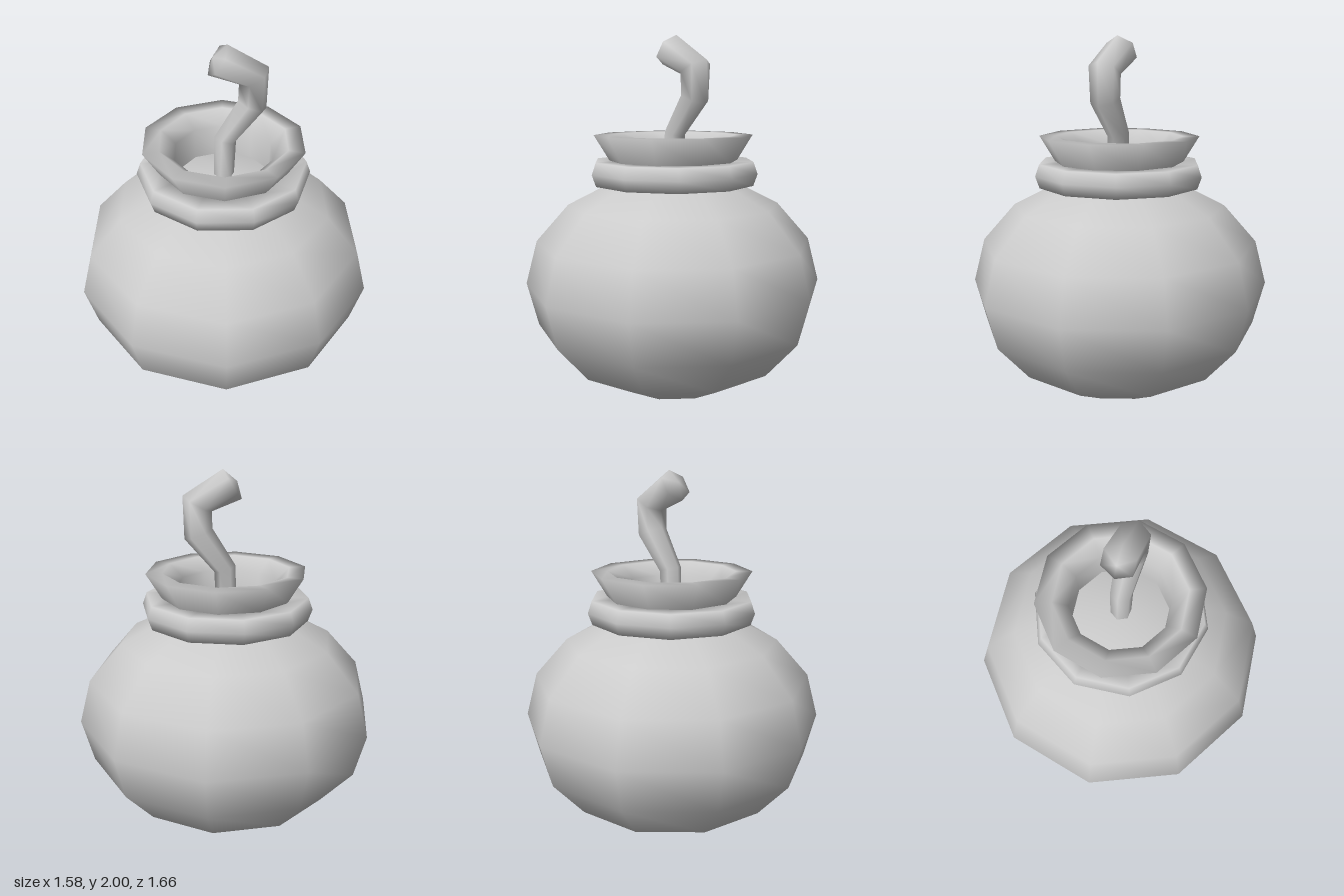
import * as THREE from 'three';

const material = new THREE.MeshStandardMaterial({ color: 0xcccccc, side: THREE.DoubleSide });
const SIDES = 10;

// Ten-sided ring of revolution from [radius, height] pairs
function turned(name, profile) {
  const points = profile.map(([r, y]) => new THREE.Vector2(r, y));
  const mesh = new THREE.Mesh(new THREE.LatheGeometry(points, SIDES), material);
  mesh.name = name;
  return mesh;
}

// Crooked six-sided fuse, bending in the diagonal plane x = -z.
// Each ring: offset along the diagonal, height, radius, tilt.
function fuseGeometry() {
  const rings = [
    [0, 1.2, 0.055, 0],
    [0.01, 1.47, 0.06, -0.3],
    [0.15, 1.66, 0.08, -0.36],
    [0.155, 1.82, 0.087, 0.5],
    [-0.03, 1.92, 0.092, 1.0],
  ];
  const n = 6, d = Math.SQRT1_2;
  const positions = [], indices = [];
  const add = (s, y, w) => positions.push((s + w) * d, y, (w - s) * d);
  for (const [s, y, r, tilt] of rings) {
    for (let i = 0; i < n; i++) {
      const a = (i / n) * Math.PI * 2;
      const v = Math.cos(a) * r;
      add(s + v * Math.cos(tilt), y + v * Math.sin(tilt), -Math.sin(a) * r);
    }
  }
  for (let k = 0; k < rings.length - 1; k++) {
    for (let i = 0; i < n; i++) {
      const j = (i + 1) % n, a = k * n + i, b = k * n + j;
      indices.push(a, a + n, b, b, a + n, b + n);
    }
  }
  // Blunt tip
  const tip = rings.length * n, last = tip - n;
  add(-0.055, 1.935, 0);
  for (let i = 0; i < n; i++) indices.push(last + i, tip, last + (i + 1) % n);

  const geometry = new THREE.BufferGeometry();
  geometry.setAttribute('position', new THREE.Float32BufferAttribute(positions, 3));
  geometry.setIndex(indices);
  geometry.computeVertexNormals();
  return geometry;
}

export function createModel() {
  const group = new THREE.Group();
  group.name = 'fusedPot';

  // Squat round body
  const body = new THREE.Mesh(new THREE.SphereGeometry(0.83, SIDES, 8), material);
  body.name = 'body';
  body.scale.y = 0.63 / 0.83;
  body.position.y = 0.63;
  body.rotation.y = Math.PI / 2;
  group.add(body);

  // Band around the neck, turned half a side from the body
  const band = turned('neckBand', [
    [0.32, 1.19], [0.447, 1.19], [0.47, 1.255], [0.447, 1.32], [0.32, 1.32], [0.32, 1.19],
  ]);
  band.rotation.y = Math.PI / SIDES;
  group.add(band);

  // Flared lip with an inner wall down to the body
  group.add(turned('lip', [
    [0.32, 1.2], [0.355, 1.32], [0.44, 1.46], [0.35, 1.46], [0.27, 1.39], [0.26, 1.2],
  ]));

  const fuse = new THREE.Mesh(fuseGeometry(), material);
  fuse.name = 'fuse';
  group.add(fuse);

  return group;
}
